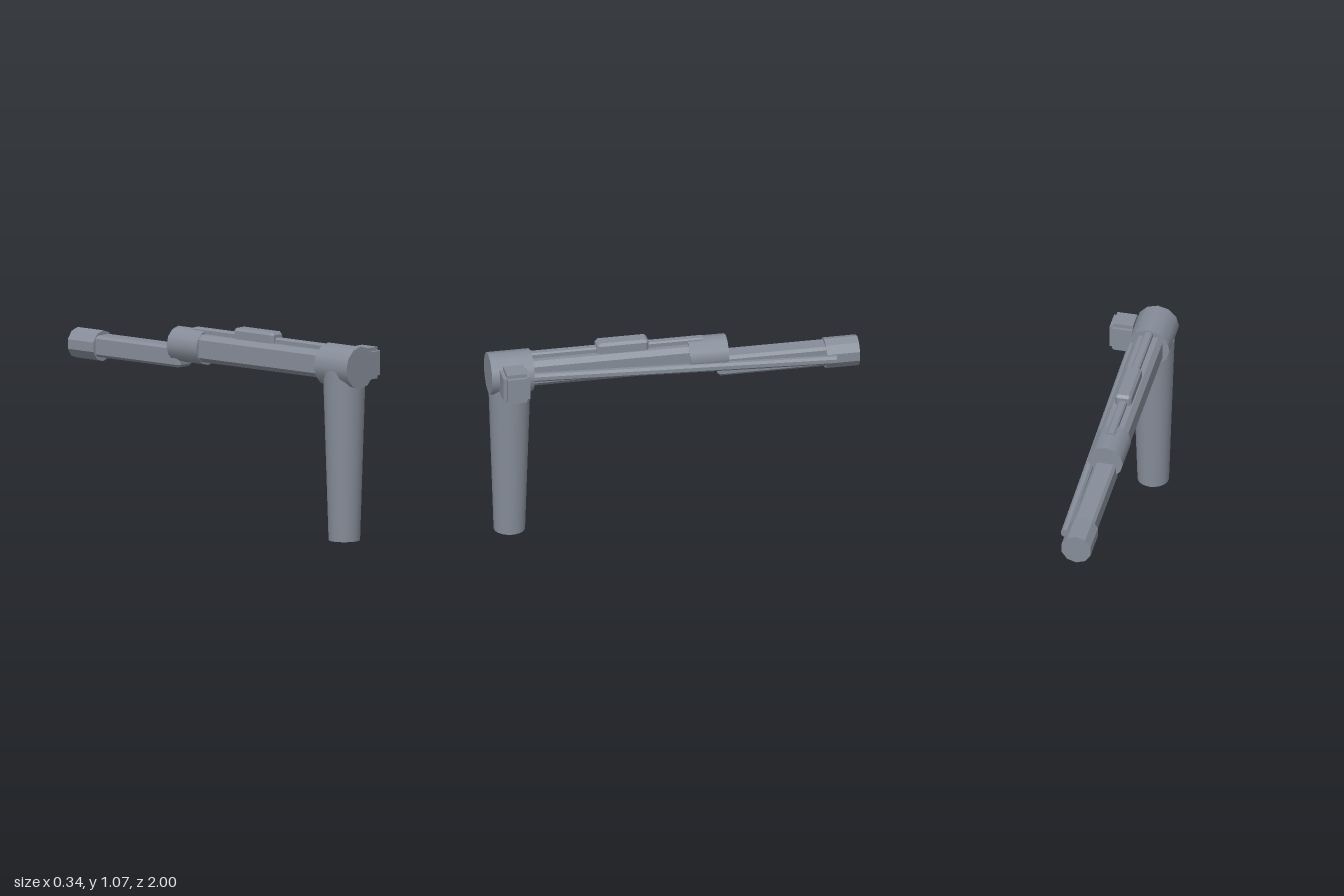
import * as THREE from 'three';
import { ConvexGeometry } from 'three/addons/geometries/ConvexGeometry.js';

const CX = -0.057; // shared centre line of post and arm

export function createModel() {
  const group = new THREE.Group();
  const color = 0x868d99;
  const smooth = new THREE.MeshStandardMaterial({ color });
  const flat = new THREE.MeshStandardMaterial({ color, flatShading: true });

  const add = (name, geometry, material, x, y, z) => {
    const mesh = new THREE.Mesh(geometry, material);
    mesh.name = name;
    mesh.position.set(x, y, z);
    group.add(mesh);
    return mesh;
  };

  // Box with chamfered edges; end is the chamfer of the two z ends (0 = square)
  const chamferBox = (w, h, d, b, end = b) => {
    const pts = [];
    for (const i of [-1, 1]) for (const j of [-1, 1]) for (const k of [-1, 1]) {
      const x = w / 2, y = h / 2, z = d / 2;
      pts.push(new THREE.Vector3(i * x, j * (y - b), k * (z - end)));
      pts.push(new THREE.Vector3(i * (x - b), j * y, k * (z - end)));
      if (end > 0) pts.push(new THREE.Vector3(i * (x - b), j * (y - b), k * z));
    }
    return new ConvexGeometry(pts);
  };

  // Cylinder lying along z
  const drum = (r, length, sides) =>
    new THREE.CylinderGeometry(r, r, length, sides).rotateX(Math.PI / 2);

  // Upright post and the joint on top of it
  add('post', new THREE.CylinderGeometry(0.114, 0.084, 0.92, 24), smooth, CX, 0.46, 0.885);
  add('shoulderJoint', drum(0.114, 0.23, 12), smooth, CX, 0.936, 0.885);

  // Motor housing with stepped edges: three crossed blocks
  add('motorHousing', new THREE.BoxGeometry(0.108, 0.17, 0.108), flat, 0.096, 0.935, 0.884);
  add('motorSides', new THREE.BoxGeometry(0.108, 0.13, 0.146), flat, 0.096, 0.935, 0.884);
  add('motorCap', new THREE.BoxGeometry(0.126, 0.13, 0.108), flat, 0.105, 0.935, 0.884);

  // Inner arm with a rail and a block on top
  add('innerArm', chamferBox(0.154, 0.146, 1.06, 0.025, 0), flat, CX, 0.938, 0.33);
  add('topRail', chamferBox(0.046, 0.04, 0.97, 0.008, 0), flat, CX, 1.02, 0.325);
  add('railBlock', chamferBox(0.09, 0.09, 0.28, 0.014), flat, CX, 1.024, 0.276);

  // Elbow collar, outer arm and tip
  add('elbowCollar', drum(0.095, 0.21, 12), smooth, CX, 0.938, -0.183);
  add('outerArm', chamferBox(0.118, 0.114, 0.66, 0.015), flat, CX, 0.874, -0.565);
  add('armTip', drum(0.083, 0.18, 10), flat, CX, 0.872, -0.91);

  // Slanted rod along the side
  const rod = add('sideRod', chamferBox(0.044, 0.044, 1.69, 0.012, 0), flat, 0.032, 0.904, -0.025);
  rod.rotation.x = -Math.atan2(0.063, 1.69);

  return group;
}
